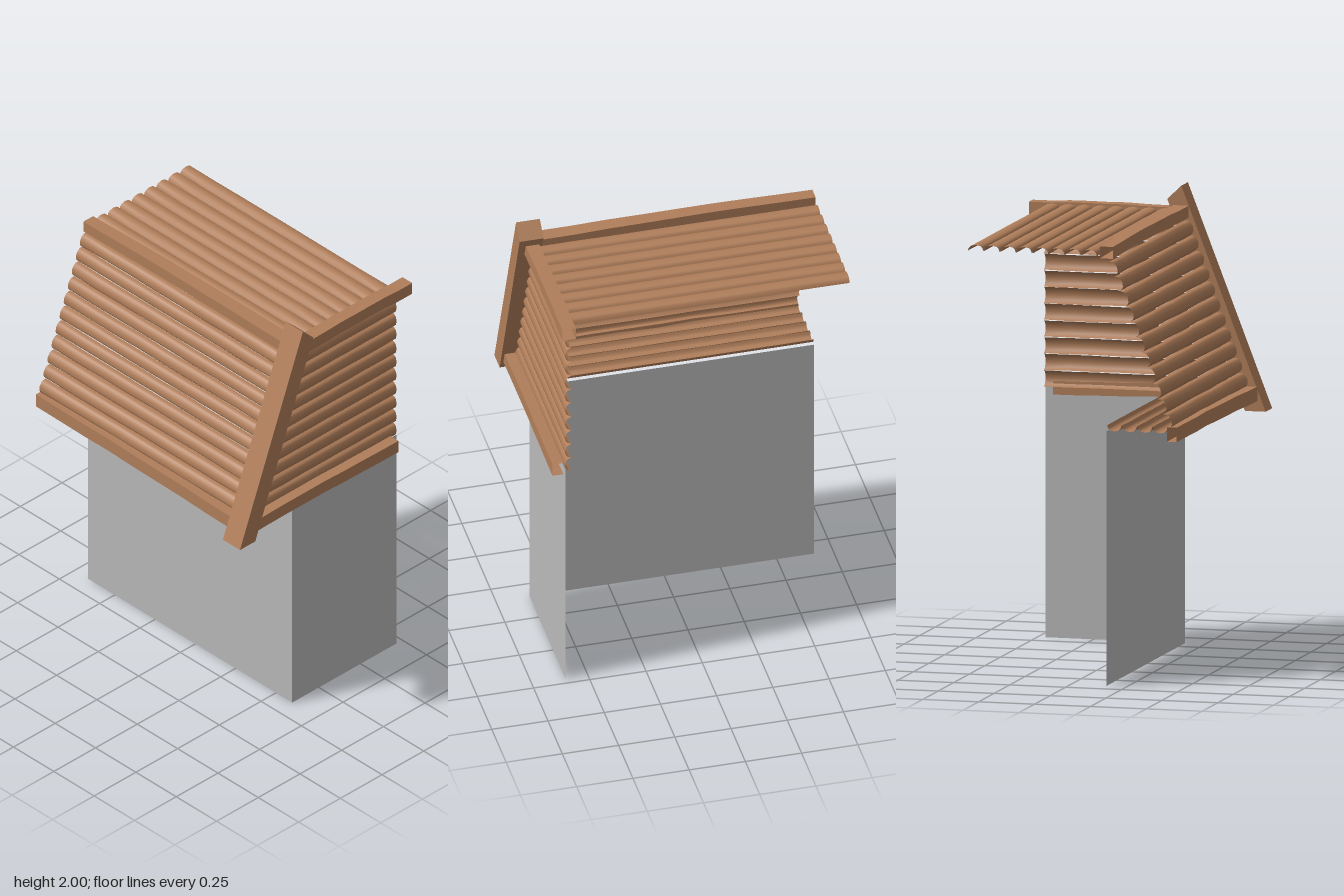
import * as THREE from 'three';

const wood = new THREE.MeshStandardMaterial({ color: 0xb07e5a, side: THREE.DoubleSide });
wood.name = 'wood';
const plaster = new THREE.MeshStandardMaterial({ color: 0xb9b9b9, side: THREE.DoubleSide });
plaster.name = 'grey wall';

// seeded noise for the hand-cut wobble
let seed = 7;
const rand = () => (seed = (seed * 16807) % 2147483647) / 2147483647;

// grid surface from point(i, j); smooth across the whole grid
function grid(ni, nj, point) {
  const pos = [], idx = [];
  for (let i = 0; i <= ni; i++) for (let j = 0; j <= nj; j++) {
    pos.push(...point(i, j));
    if (i < ni && j < nj) {
      const a = i * (nj + 1) + j, b = a + nj + 1;
      idx.push(a, b, a + 1, b, b + 1, a + 1);
    }
  }
  const g = new THREE.BufferGeometry();
  g.setAttribute('position', new THREE.Float32BufferAttribute(pos, 3));
  g.setIndex(idx);
  g.computeVertexNormals();
  return g;
}

// rounded half-log section: [across, outward]
const section = [[0, 0], [0.07, 0.5], [0.2, 0.82], [0.5, 1], [0.8, 0.82], [0.93, 0.5], [1, 0]];
const DEPTH = 0.026;

// row of half-log boards; place(s, t, h) maps across / along / outward to a point
function boards(name, count, s0, s1, span, place) {
  const group = new THREE.Group();
  group.name = name;
  const pitch = (s1 - s0) / count, n = 8;
  for (let k = 0; k < count; k++) {
    const lo = [], hi = [];
    for (let i = 0; i <= n; i++) {
      lo.push(s0 + k * pitch + rand() * 0.003);
      hi.push(s0 + (k + 1) * pitch - rand() * 0.003);
    }
    const geo = grid(n, section.length - 1, (i, j) => {
      const s = lo[i] + (hi[i] - lo[i]) * section[j][0];
      const [t0, t1] = span(s);
      return place(s, t0 + (t1 - t0) * i / n, section[j][1] * DEPTH);
    });
    const mesh = new THREE.Mesh(geo, wood);
    mesh.name = name + 'Board';
    group.add(mesh);
  }
  return group;
}

// open-ended square beam along x or z; corners are [u, v] at each end
function beam(name, axis, t0, t1, start, end) {
  const group = new THREE.Group();
  group.name = name;
  const n = 8;
  const wob = Array.from({ length: n + 1 }, (_, i) => (i % n ? (rand() - 0.5) * 0.004 : 0));
  const corner = (c, i) => {
    const f = i / n, k = c % 4;
    const [u0, u1, v0, v1] = start.map((a, q) => a + (end[q] - a) * f);
    const u = k === 0 || k === 3 ? u0 : u1;
    const v = (k < 2 ? v0 : v1) + wob[i] + 0.005 * Math.sin(Math.PI * f);
    const t = t0 + (t1 - t0) * f;
    return axis === 'x' ? [t, v, u] : [u, v, t];
  };
  for (let c = 0; c < 4; c++) {
    const mesh = new THREE.Mesh(grid(n, 1, (i, j) => corner(c + j, i)), wood);
    mesh.name = name + 'Face';
    group.add(mesh);
  }
  return group;
}

function wall(name, w, h, x, z, turn) {
  const mesh = new THREE.Mesh(new THREE.PlaneGeometry(w, h), plaster);
  mesh.name = name;
  mesh.position.set(x, h / 2, z);
  mesh.rotation.y = turn;
  return mesh;
}

export function createModel() {
  const model = new THREE.Group();
  model.name = 'roofCorner';
  const BACK = -0.665, EDGE = 0.465;

  // lower walls meeting at the front corner
  model.add(wall('frontWall', 0.625, 1.11, 0.1525, 0.6, 0));
  model.add(wall('sideWall', 1.265, 1.11, -0.16, -0.0325, -Math.PI / 2));

  // front gable siding, its end cut to the roof slope
  model.add(boards('gable', 11, 1.095, 1.895,
    s => [-0.475 + (s - 1.03) * 0.385, EDGE], (s, t, h) => [t, s, 0.575 + h]));

  // steep roof side
  const len = Math.hypot(0.267, 0.72), dx = 0.267 / len, dy = 0.72 / len;
  model.add(boards('slope', 11, 0, len, () => [BACK, 0.56],
    (s, t, h) => [-0.437 + dx * s - dy * h, 1.13 + dy * s + dx * h, t]));

  // flat roof top
  model.add(boards('flatRoof', 8, -0.118, EDGE - 0.003, () => [BACK, 0.575],
    (s, t, h) => [s, 1.872 + h, t]));

  // soffit under the eave
  model.add(boards('soffit', 4, -0.435, -0.16, () => [BACK, 0.595],
    (s, t, h) => [s, 1.136 - h, t]));

  // trim beams: [u0, u1, v0, v1] at start and end
  model.add(beam('ridgeBeam', 'z', BACK, 0.56, [-0.188, -0.13, 1.862, 1.914], [-0.188, -0.119, 1.862, 1.914]));
  model.add(beam('eaveBeam', 'z', BACK, 0.56, [-0.473, -0.43, 1.075, 1.138], [-0.495, -0.43, 1.075, 1.138]));
  model.add(beam('topTrim', 'x', -0.15, 0.53, [0.57, 0.63, 1.843, 1.9], [0.57, 0.63, 1.843, 1.9]));
  model.add(beam('bottomTrim', 'x', -0.45, 0.43, [0.595, 0.648, 1.065, 1.122], [0.595, 0.648, 1.06, 1.12]));

  // sloping rake board at the front edge
  const shape = new THREE.Shape([[-0.532, 1.03], [-0.44, 1.03], [-0.092, 1.94], [-0.155, 2.0]]
    .map(p => new THREE.Vector2(...p)));
  const rake = new THREE.Mesh(
    new THREE.ExtrudeGeometry(shape, { depth: 0.106, bevelEnabled: false }), wood);
  rake.name = 'rakeBoard';
  rake.position.z = 0.555;
  model.add(rake);

  return model;
}
